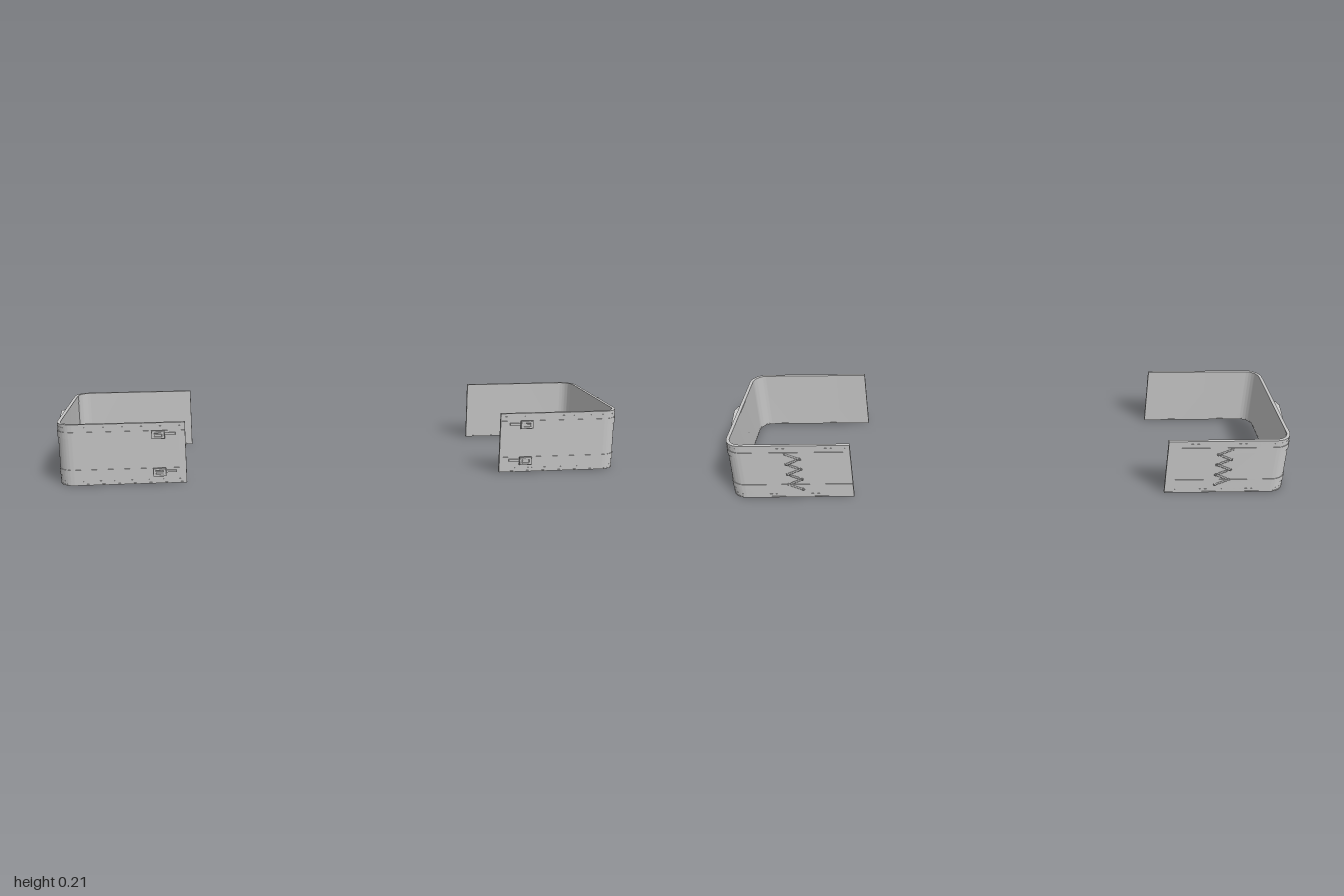
import * as THREE from 'three';
import { toCreasedNormals } from 'three/addons/utils/BufferGeometryUtils.js';

const grey = new THREE.MeshStandardMaterial({ color: 0xc6c6c6 });
grey.name = 'light grey';

const END = 0.55, SIDE = 0.981, FRONT = 0.248, BACK = -0.265, HEIGHT = 0.214, R = 0.055;
const STRAPS = [0.044, 0.176];

function add(parent, name, geometry, x = 0, y = 0, z = 0) {
  const mesh = new THREE.Mesh(geometry, grey);
  mesh.name = name;
  mesh.position.set(x, y, z);
  parent.add(mesh);
  return mesh;
}

// C-shaped run around one side, pushed outward by d; points are (x, -z)
function outline(d) {
  const r = R + d, path = new THREE.Path();
  path.moveTo(END, -FRONT - d);
  path.lineTo(SIDE - R, -FRONT - d);
  path.absarc(SIDE - R, -FRONT + R, r, -Math.PI / 2, 0);
  path.lineTo(SIDE + d, -BACK - R);
  path.absarc(SIDE - R, -BACK - R, r, 0, Math.PI / 2);
  path.lineTo(END, -BACK + d);
  return path;
}

// wall of the given height following the run between two offsets
function wall(inner, outer, y0, y1) {
  const points = outline(outer).getPoints(10).concat(outline(inner).getPoints(10).reverse());
  const geometry = new THREE.ExtrudeGeometry(new THREE.Shape(points), { depth: y1 - y0, bevelEnabled: false });
  geometry.rotateX(-Math.PI / 2);
  geometry.translate(0, y0, 0);
  return toCreasedNormals(geometry, 0.6);
}

function tube(points, radius, smooth = true) {
  const v = points.map(([x, y]) => new THREE.Vector3(x, y, 0));
  let curve;
  if (smooth) curve = new THREE.CatmullRomCurve3(v);
  else {
    curve = new THREE.CurvePath();
    for (let i = 1; i < v.length; i++) curve.add(new THREE.LineCurve3(v[i - 1], v[i]));
  }
  return new THREE.TubeGeometry(curve, smooth ? 20 : (v.length - 1) * 4, radius, 6);
}

function shield(scale) {
  const half = [[0, 0.0985], [0.05, 0.084], [0.0715, 0.073], [0.0715, -0.058], [0, -0.0985]];
  const points = half.concat(half.slice(1, -1).reverse().map(([x, y]) => [-x, y]));
  return points.map(([x, y]) => new THREE.Vector2(x * scale, y * scale));
}

function makePlate() {
  const plate = new THREE.Group();
  plate.name = 'sidePlate';
  const base = new THREE.ExtrudeGeometry(new THREE.Shape(shield(0.95)), { depth: 0.011, bevelEnabled: false });
  add(plate, 'plateBase', base);
  const rim = new THREE.Shape(shield(1));
  rim.holes.push(new THREE.Path(shield(0.92)));
  const bevel = { depth: 0.012, bevelThickness: 0.002, bevelSize: 0.002, bevelOffset: -0.002, bevelSegments: 2 };
  add(plate, 'plateRim', new THREE.ExtrudeGeometry(rim, bevel));

  // domed rivets
  for (const [x, y] of [[0, 0.084], [0, -0.086], [0.058, 0.047], [-0.058, 0.047], [0.058, -0.05], [-0.058, -0.05]]) {
    add(plate, 'plateRivet', new THREE.SphereGeometry(0.006, 12, 8), x, y, 0.011);
  }

  // raised scrollwork, mirrored about the middle
  for (const s of [1, -1]) {
    const scroll = [[0.02, 0.022], [0.022, 0.03], [0.03, 0.033], [0.035, 0.024], [0.038, 0.004], [0.034, -0.02], [0.018, -0.034]];
    const curl = [[0.006, -0.055], [0.013, -0.046], [0.022, -0.048], [0.024, -0.057], [0.017, -0.059]];
    const leaf = [[0, 0.035], [0.017, 0.05], [0.011, 0.06], [0.004, 0.05]];
    for (const [name, pts, smooth] of [['scroll', scroll, true], ['lowerCurl', curl, true], ['upperLeaf', leaf, false]]) {
      add(plate, name, tube(pts.map(([x, y]) => [x * s, y]), 0.0017, smooth), 0, 0, 0.0112);
    }
  }
  plate.position.set(SIDE + 0.004, 0.1095, -0.007);
  plate.rotation.y = Math.PI / 2;
  return plate;
}

function makeBuckle(y) {
  const buckle = new THREE.Group();
  buckle.name = 'buckle';
  const frame = new THREE.Shape();
  frame.moveTo(-0.02, -0.012).lineTo(0.02, -0.012).lineTo(0.02, 0.012).lineTo(-0.02, 0.012);
  const hole = new THREE.Path();
  hole.moveTo(-0.014, -0.008).lineTo(-0.014, 0.008).lineTo(0.014, 0.008).lineTo(0.014, -0.008);
  frame.holes.push(hole);
  const bevel = { depth: 0.008, bevelThickness: 0.002, bevelSize: 0.002, bevelOffset: 0, bevelSegments: 3 };
  add(buckle, 'buckleFrame', new THREE.ExtrudeGeometry(frame, bevel), 0, 0, 0.011);
  add(buckle, 'buckleStrap', new THREE.BoxGeometry(0.034, 0.013, 0.016), 0, 0, 0.008);
  add(buckle, 'buckleProng', new THREE.BoxGeometry(0.036, 0.004, 0.004), 0, 0, 0.018);
  add(buckle, 'strapTip', new THREE.BoxGeometry(0.038, 0.008, 0.005), -0.038, 0, 0.004);
  buckle.position.set(0.64, y, FRONT + 0.001);
  return buckle;
}

function makeLacing() {
  const lacing = new THREE.Group();
  lacing.name = 'backLacing';
  const zigzag = [];
  for (let i = 0; i <= 7; i++) zigzag.push([i % 2 ? 0.024 : -0.024, 0.034 + i * 0.021]);
  add(lacing, 'lace', tube(zigzag, 0.0035, false));
  for (const [x, y] of zigzag) {
    add(lacing, 'eyelet', new THREE.TorusGeometry(0.0045, 0.0015, 6, 12), x, y, -0.001);
  }
  lacing.position.set(0.75, 0, BACK - 0.002);
  return lacing;
}

// rows of stitches along the front, the back and the corners
function addStitches(half) {
  const stitch = new THREE.BoxGeometry(0.009, 0.002, 0.0014);
  const path = outline(0), count = 64;
  for (const y of [0.014, HEIGHT - 0.012]) {
    for (let i = 1; i < count; i++) {
      const p = path.getPointAt(i / count), t = path.getTangentAt(i / count);
      if (Math.abs(t.x) < 0.05) continue;
      add(half, 'stitch', stitch, p.x, y, -p.y).rotation.y = Math.atan2(t.y, t.x);
    }
  }
}

function makeHalf() {
  const half = new THREE.Group();
  add(half, 'band', wall(-0.01, 0, 0.001, HEIGHT - 0.001));
  // edge trims and raised straps
  add(half, 'lowerTrim', wall(-0.0105, 0.001, 0, 0.004));
  add(half, 'upperTrim', wall(-0.0105, 0.001, HEIGHT - 0.004, HEIGHT));
  for (const y of STRAPS) {
    add(half, 'strap', wall(-0.001, 0.002, y - 0.011, y + 0.011));
    half.add(makeBuckle(y));
  }
  addStitches(half);
  half.add(makePlate(), makeLacing());
  return half;
}

export function createModel() {
  const model = new THREE.Group();
  model.name = 'beltHalves';
  const left = makeHalf();
  left.name = 'leftBand';
  const right = makeHalf();
  right.name = 'rightBand';
  right.scale.x = -1;
  model.add(left, right);
  return model;
}
